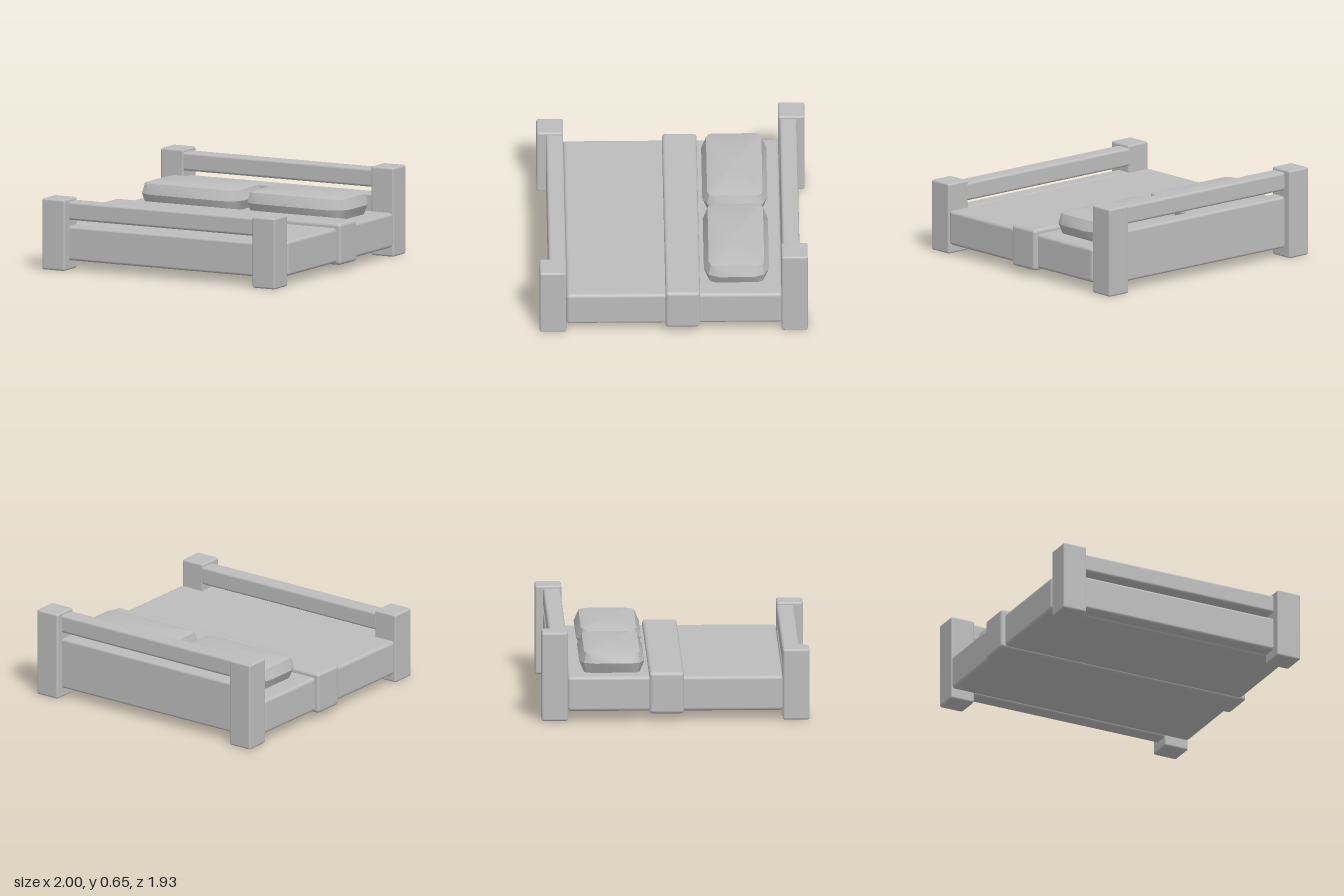
import * as THREE from 'three';
import { RoundedBoxGeometry } from 'three/addons/geometries/RoundedBoxGeometry.js';
import { toCreasedNormals } from 'three/addons/utils/BufferGeometryUtils.js';

// Twelve-point rectangle with softened corners at one height
function pillowRing({ y, hx, hz, cut }) {
  const corner = [[hx, hz - cut * 1.3], [hx - cut * 0.4, hz - cut * 0.4], [hx - cut * 1.3, hz]];
  const back = [...corner].reverse();
  const quarters = [[corner, 1, 1], [back, -1, 1], [corner, -1, -1], [back, 1, -1]];
  return quarters.flatMap(([pts, sx, sz]) => pts.map(([x, z]) => [x * sx, y, z * sz]));
}

// Cushion lofted through stacked rings and capped at both ends
function pillowGeometry() {
  const rings = [
    { y: 0.31, hx: 0.37, hz: 0.195, cut: 0.03 },
    { y: 0.40, hx: 0.42, hz: 0.235, cut: 0.085 },
    { y: 0.475, hx: 0.385, hz: 0.2, cut: 0.035 },
    { y: 0.49, hx: 0.33, hz: 0.155, cut: 0.03 },
  ].map(pillowRing);
  const n = rings[0].length;
  const pos = [];
  const tri = (a, b, c) => pos.push(...a, ...b, ...c);
  for (let r = 0; r < rings.length - 1; r++) {
    for (let i = 0; i < n; i++) {
      const j = (i + 1) % n, low = rings[r], up = rings[r + 1];
      tri(low[i], up[i], up[j]);
      tri(low[i], up[j], low[j]);
    }
  }
  const bottom = rings[0], top = rings[rings.length - 1];
  for (let i = 0; i < n; i++) {
    const j = (i + 1) % n;
    tri([0, top[0][1], 0], top[j], top[i]);
    tri([0, bottom[0][1], 0], bottom[i], bottom[j]);
  }
  const g = new THREE.BufferGeometry();
  g.setAttribute('position', new THREE.Float32BufferAttribute(pos, 3));
  return toCreasedNormals(g, 0.5);
}

export function createModel() {
  const bed = new THREE.Group();
  bed.name = 'bed';
  const grey = new THREE.MeshStandardMaterial({ color: 0xbcbcbc });
  grey.name = 'grey';

  // Bevelled box given by its lower and upper limits
  const box = (name, [x0, x1], [y0, y1], [z0, z1], bevel) => {
    const mesh = new THREE.Mesh(new RoundedBoxGeometry(x1 - x0, y1 - y0, z1 - z0, 2, bevel), grey);
    mesh.position.set((x0 + x1) / 2, (y0 + y1) / 2, (z0 + z1) / 2);
    mesh.name = name;
    bed.add(mesh);
  };

  // Mattress and the folded blanket wrapped around it
  box('mattress', [-0.965, 0.965], [0.07, 0.325], [-0.78, 0.775], 0.025);
  box('blanketBand', [-0.998, 0.998], [0.055, 0.36], [-0.19, 0.06], 0.025);

  // Headboard and footboard: two posts, a rail and a lower panel each
  const ends = [
    { name: 'headboard', post: [-0.967, -0.777], rail: [-0.91, -0.785], height: 0.65, panelTop: 0.45 },
    { name: 'footboard', post: [0.775, 0.967], rail: [0.775, 0.9], height: 0.52, panelTop: 0.32 },
  ];
  for (const { name, post, rail, height, panelTop } of ends) {
    box(name + 'LeftPost', [0.777, 0.965], [0, height], post, 0.015);
    box(name + 'RightPost', [-0.965, -0.777], [0, height], post, 0.015);
    box(name + 'Rail', [-0.8, 0.8], [height - 0.155, height - 0.02], rail, 0.02);
    box(name + 'Panel', [-0.8, 0.8], [0.07, panelTop], rail, 0.02);
  }

  // Two pillows side by side
  const pillow = pillowGeometry();
  for (const side of [-1, 1]) {
    const mesh = new THREE.Mesh(pillow, grey);
    mesh.name = side > 0 ? 'leftPillow' : 'rightPillow';
    mesh.position.set(side * 0.437, 0, -0.455);
    bed.add(mesh);
  }
  return bed;
}
